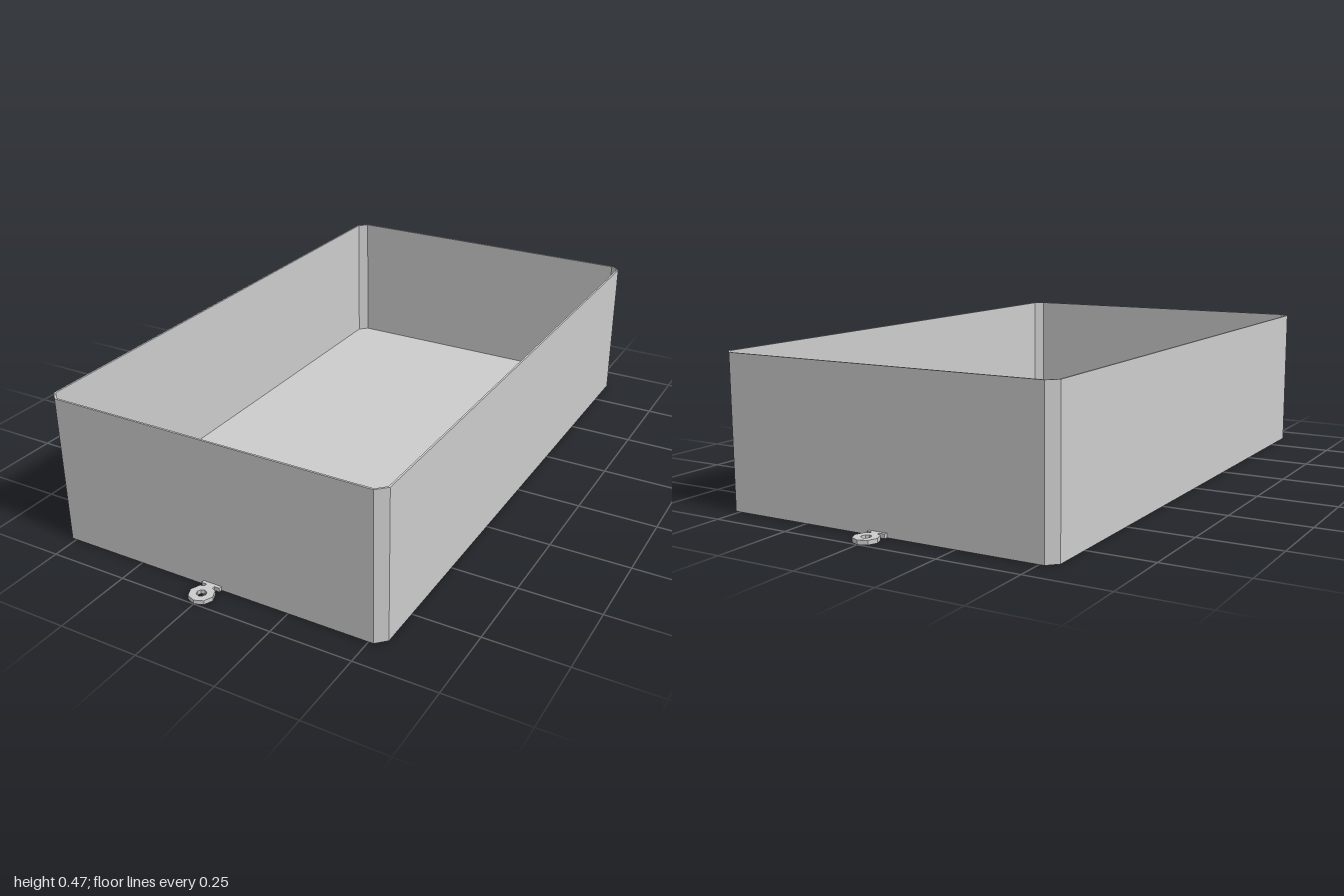
import * as THREE from 'three';

const HX = 0.545, HZ = 0.911, HEIGHT = 0.467, CHAMFER = 0.03;
const WALL = 0.006, FLOOR = 0.013, LUG = 0.013;

// Rectangle with cut corners, as points
function cutRect(hx, hz, c) {
  return [[hx - c, -hz], [hx, -hz + c], [hx, hz - c], [hx - c, hz],
    [-hx + c, hz], [-hx, hz - c], [-hx, -hz + c], [-hx + c, -hz]]
    .map(([x, y]) => new THREE.Vector2(x, y));
}

// Regular polygon, first corner on +x
function polygon(r, n) {
  return Array.from({ length: n }, (_, i) => {
    const a = (i / n) * Math.PI * 2;
    return new THREE.Vector2(r * Math.cos(a), r * Math.sin(a));
  });
}

// Extrude a plan outline upwards from y = 0
function slab(points, height, hole) {
  const shape = new THREE.Shape(points);
  if (hole) shape.holes.push(new THREE.Path(hole));
  return new THREE.ExtrudeGeometry(shape, { depth: height, bevelEnabled: false })
    .rotateX(-Math.PI / 2);
}

export function createModel() {
  const group = new THREE.Group();
  const grey = new THREE.MeshStandardMaterial({ color: 0xcccccc });
  grey.name = 'light grey';

  const add = (parent, name, geometry, x = 0, y = 0, z = 0) => {
    const mesh = new THREE.Mesh(geometry, grey);
    mesh.name = name;
    mesh.position.set(x, y, z);
    parent.add(mesh);
    return mesh;
  };

  // Open tray: floor plate and thin chamfered walls
  const inner = cutRect(HX - WALL, HZ - WALL, CHAMFER - WALL * 0.6);
  add(group, 'floor', slab(inner, FLOOR));
  add(group, 'walls', slab(cutRect(HX, HZ, CHAMFER), HEIGHT, inner));

  for (const [side, s] of [['front', 1], ['back', -1]]) {
    // Short hexagonal peg in the left corner
    add(group, side + 'Peg', slab(polygon(0.025, 6), 0.03), 0.473, FLOOR, s * 0.837);

    // Mounting lug: foot, neck and eyelet
    const lug = new THREE.Group();
    lug.name = side + 'Lug';
    add(lug, 'foot', new THREE.BoxGeometry(0.06, LUG, 0.012), 0, LUG / 2, HZ + 0.004);
    add(lug, 'neck', new THREE.BoxGeometry(0.026, LUG, 0.028), 0, LUG / 2, HZ + 0.019);
    add(lug, 'eyelet', slab(polygon(0.038, 8), LUG, polygon(0.015, 8)), 0, 0, 0.962);
    lug.rotation.y = s > 0 ? 0 : Math.PI;
    group.add(lug);
  }
  return group;
}
